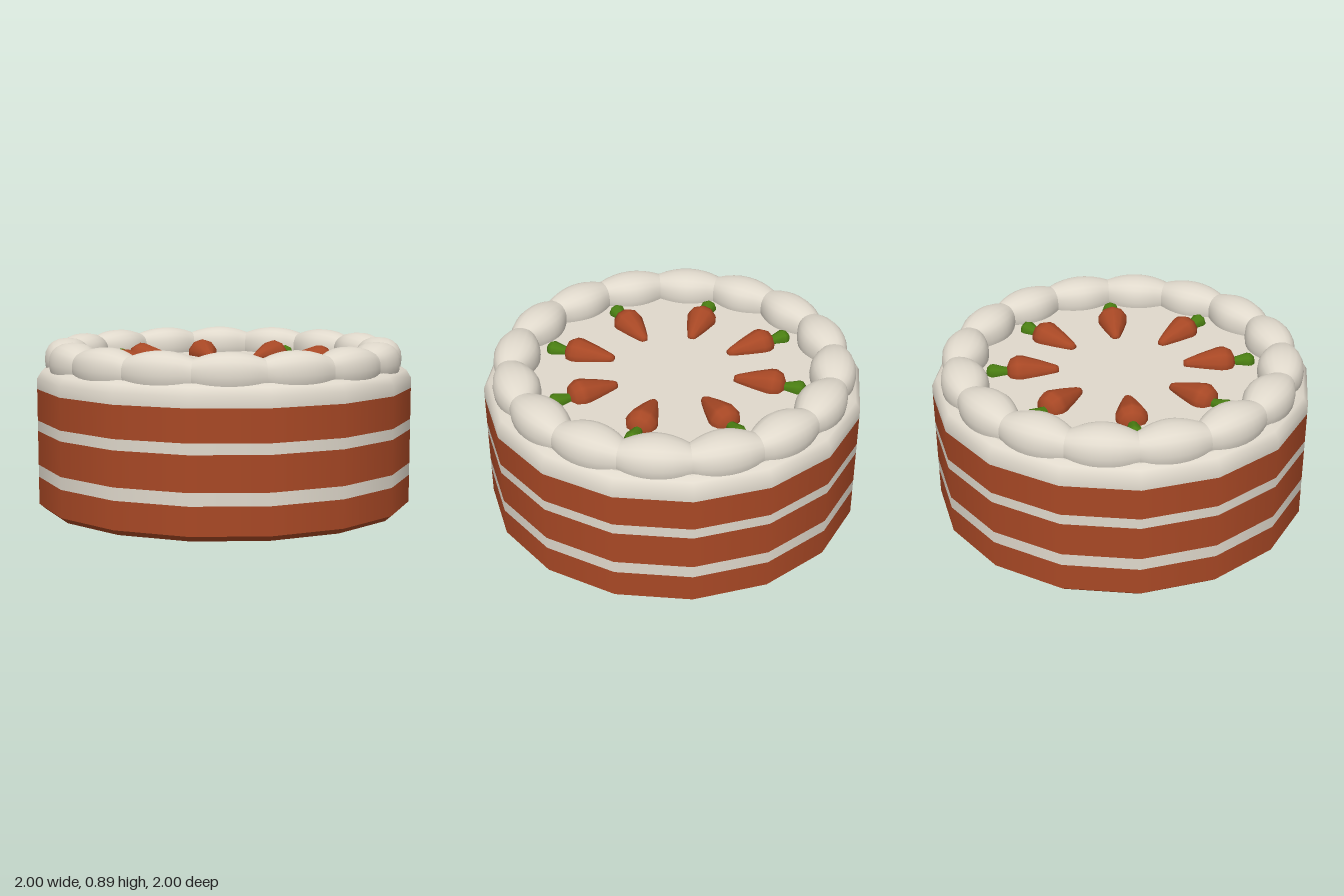
import * as THREE from 'three';

const SIDES = 16;
const sponge = new THREE.MeshStandardMaterial({ name: 'carrotOrange', color: 0xa84825 });
const cream = new THREE.MeshStandardMaterial({ name: 'cream', color: 0xe0d9cc });
const green = new THREE.MeshStandardMaterial({ name: 'leafGreen', color: 0x4a7f12 });

const points = (list) => list.map(([r, y]) => new THREE.Vector2(r, y));

function addMesh(parent, name, geometry, material) {
  const mesh = new THREE.Mesh(geometry, material);
  mesh.name = name;
  parent.add(mesh);
  return mesh;
}

// One swollen blob of piped cream, spanning a single side of the cake
function blobGeometry() {
  const round = 20, steps = 8, span = (Math.PI * 2) / SIDES;
  const blank = points(Array.from({ length: round + 1 }, () => [1, 0]));
  const geo = new THREE.LatheGeometry(blank, steps, 0, span);
  const pos = geo.attributes.position;
  for (let i = 0; i <= steps; i++) {
    const t = (i / steps) * 2 - 1, phi = (i / steps) * span;
    const rx = 0.122 - 0.045 * t * t;
    const ry = 0.112 - 0.033 * t * t;
    const mid = 0.835 + 0.015 * t * t;
    for (let j = 0; j <= round; j++) {
      const a = (j / round) * Math.PI * 2 - Math.PI / 2;
      const c = Math.cos(a), s = Math.sin(a);
      const r = mid + rx * Math.sign(c) * Math.abs(c) ** 0.85;
      const y = 0.78 + ry * Math.sign(s) * Math.abs(s) ** 0.85;
      pos.setXYZ(i * (round + 1) + j, r * Math.sin(phi), y, r * Math.cos(phi));
    }
  }
  geo.computeVertexNormals();
  return geo;
}

export function createModel() {
  const cake = new THREE.Group();
  cake.name = 'carrotCake';

  // Sponge and cream layers, bottom to top
  const layers = [
    ['bottomSponge', sponge, [[0.965, 0], [1, 0.03]]],
    ['bottomSpongeWall', sponge, [[1, 0.03], [1, 0.175]]],
    ['lowerFilling', cream, [[1, 0.175], [1, 0.24]]],
    ['middleSponge', sponge, [[1, 0.24], [1, 0.42]]],
    ['upperFilling', cream, [[1, 0.42], [1, 0.475]]],
    ['topSponge', sponge, [[1, 0.475], [1, 0.64]]],
    ['frosting', cream, [[1, 0.64], [1, 0.695], [0.975, 0.735], [0.935, 0.75]]],
  ];
  for (const [name, material, profile] of layers) {
    addMesh(cake, name, new THREE.LatheGeometry(points(profile), SIDES), material);
  }
  addMesh(cake, 'cakeBase', new THREE.CircleGeometry(0.965, SIDES).rotateX(Math.PI / 2), sponge);
  addMesh(cake, 'frostingTop', new THREE.CircleGeometry(0.935, SIDES).rotateX(-Math.PI / 2), cream)
    .position.y = 0.75;

  // Piped border
  const blob = blobGeometry();
  const border = new THREE.Group();
  border.name = 'pipedBorder';
  for (let i = 0; i < SIDES; i++) {
    addMesh(border, 'pipedBlob', blob, cream).rotation.y = (i / SIDES) * Math.PI * 2;
  }
  cake.add(border);

  // Ring of half-sunk carrots, tips to the centre
  const root = new THREE.LatheGeometry(points([
    [0, 0.33], [0.018, 0.333], [0.027, 0.35], [0.055, 0.43],
    [0.082, 0.52], [0.083, 0.55], [0.066, 0.585], [0.03, 0.602], [0, 0.604],
  ]), 10).rotateX(Math.PI / 2);
  const leaf = new THREE.LatheGeometry(points([
    [0.024, 0.59], [0.03, 0.62], [0.046, 0.675], [0.042, 0.692], [0.025, 0.708], [0, 0.712],
  ]), 8).rotateX(Math.PI / 2);
  for (let i = 0; i < 8; i++) {
    const carrot = new THREE.Group();
    carrot.name = 'carrot';
    addMesh(carrot, 'carrotRoot', root, sponge);
    addMesh(carrot, 'carrotLeaf', leaf, green);
    carrot.position.y = 0.757;
    carrot.rotation.y = (i * Math.PI) / 4;
    cake.add(carrot);
  }
  return cake;
}
